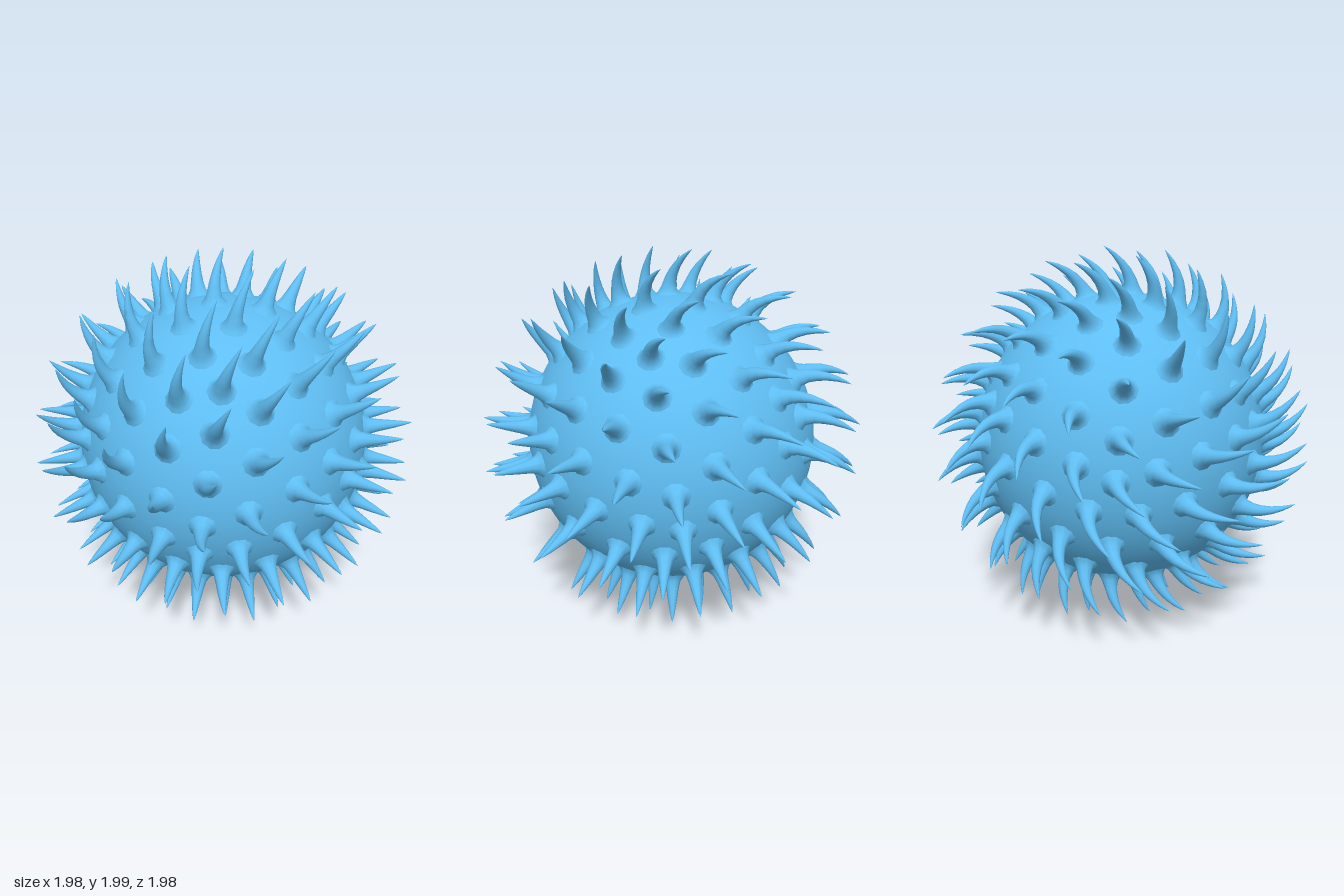
import * as THREE from 'three';
import { mergeVertices } from 'three/addons/utils/BufferGeometryUtils.js';

const SIDES = 10;
// axis the thorns swirl around; the curl is strongest near it
const SWIRL = new THREE.Vector3(-0.5, 0.55, -0.67).normalize();
// thorn profile: [distance from ball centre, thickness]
const PROFILE = [
  [0.742, 0.09], [0.765, 0.058], [0.79, 0.041], [0.83, 0.032], [0.87, 0.026],
  [0.91, 0.0195], [0.95, 0.0125], [0.98, 0.006], [0.997, 0.0005],
];

// rotation whose x axis is a, with b in its xy plane
function frame(a, b) {
  const x = a.clone().normalize();
  const z = new THREE.Vector3().crossVectors(a, b).normalize();
  return new THREE.Matrix4().makeBasis(x, new THREE.Vector3().crossVectors(z, x), z);
}

// evenly spread directions: the corners of a subdivided icosahedron,
// turned so that two neighbouring main corners land on the given directions
function thornDirections() {
  let geo = new THREE.IcosahedronGeometry(1, 3);
  geo.deleteAttribute('normal');
  geo.deleteAttribute('uv');
  geo = mergeVertices(geo, 1e-3);
  const t = (1 + Math.sqrt(5)) / 2;
  const from = frame(new THREE.Vector3(-1, t, 0), new THREE.Vector3(1, t, 0));
  const to = frame(new THREE.Vector3(0.32, 0.02, 0.947), new THREE.Vector3(0.964, -0.206, 0.15));
  geo.applyMatrix4(to.multiply(from.transpose()));
  const pos = geo.attributes.position;
  return Array.from({ length: pos.count }, (_, i) =>
    new THREE.Vector3().fromBufferAttribute(pos, i).normalize());
}

// a flared, tapering thorn whose centre line curves sideways toward its tip
function thornGeometry(dir) {
  const bend = new THREE.Vector3().crossVectors(SWIRL, dir)
    .multiplyScalar(0.12 + 0.14 * SWIRL.dot(dir));
  const centres = PROFILE.map(([r]) => {
    const t = Math.max(0, (r - 0.765) / 0.232);
    return dir.clone().addScaledVector(bend, t ** 1.8).normalize().multiplyScalar(r);
  });
  const positions = [], index = [];
  const helper = Math.abs(dir.y) < 0.9 ? new THREE.Vector3(0, 1, 0) : new THREE.Vector3(1, 0, 0);
  centres.forEach((c, i) => {
    const axis = centres[Math.min(i + 1, centres.length - 1)].clone()
      .sub(centres[Math.max(i - 1, 0)]).normalize();
    const u = new THREE.Vector3().crossVectors(helper, axis).normalize();
    const v = new THREE.Vector3().crossVectors(axis, u);
    for (let s = 0; s < SIDES; s++) {
      const a = (s / SIDES) * Math.PI * 2;
      const p = c.clone().addScaledVector(u, Math.cos(a) * PROFILE[i][1])
        .addScaledVector(v, Math.sin(a) * PROFILE[i][1]);
      positions.push(p.x, p.y, p.z);
      if (i === 0) continue;
      const n = (s + 1) % SIDES, lo = (i - 1) * SIDES, hi = i * SIDES;
      index.push(lo + s, lo + n, hi + s, lo + n, hi + n, hi + s);
    }
  });
  const geo = new THREE.BufferGeometry();
  geo.setAttribute('position', new THREE.Float32BufferAttribute(positions, 3));
  geo.setIndex(index);
  geo.computeVertexNormals();
  return geo;
}

export function createModel() {
  const model = new THREE.Group();
  model.name = 'spikyBall';
  const material = new THREE.MeshStandardMaterial({ color: 0x5fbdf2 });

  // round core
  const ball = new THREE.Mesh(new THREE.SphereGeometry(0.762, 64, 40), material);
  ball.name = 'ball';
  ball.position.y = 1;
  model.add(ball);

  // curved thorns all around
  const thorns = new THREE.Group();
  thorns.name = 'thorns';
  thorns.position.y = 1;
  for (const dir of thornDirections()) {
    const thorn = new THREE.Mesh(thornGeometry(dir), material);
    thorn.name = 'thorn';
    thorns.add(thorn);
  }
  model.add(thorns);

  // stand on the ground, centred
  const box = new THREE.Box3().setFromObject(model, true);
  const mid = box.getCenter(new THREE.Vector3());
  for (const part of model.children) {
    part.position.x -= mid.x;
    part.position.y -= box.min.y;
    part.position.z -= mid.z;
  }
  return model;
}
